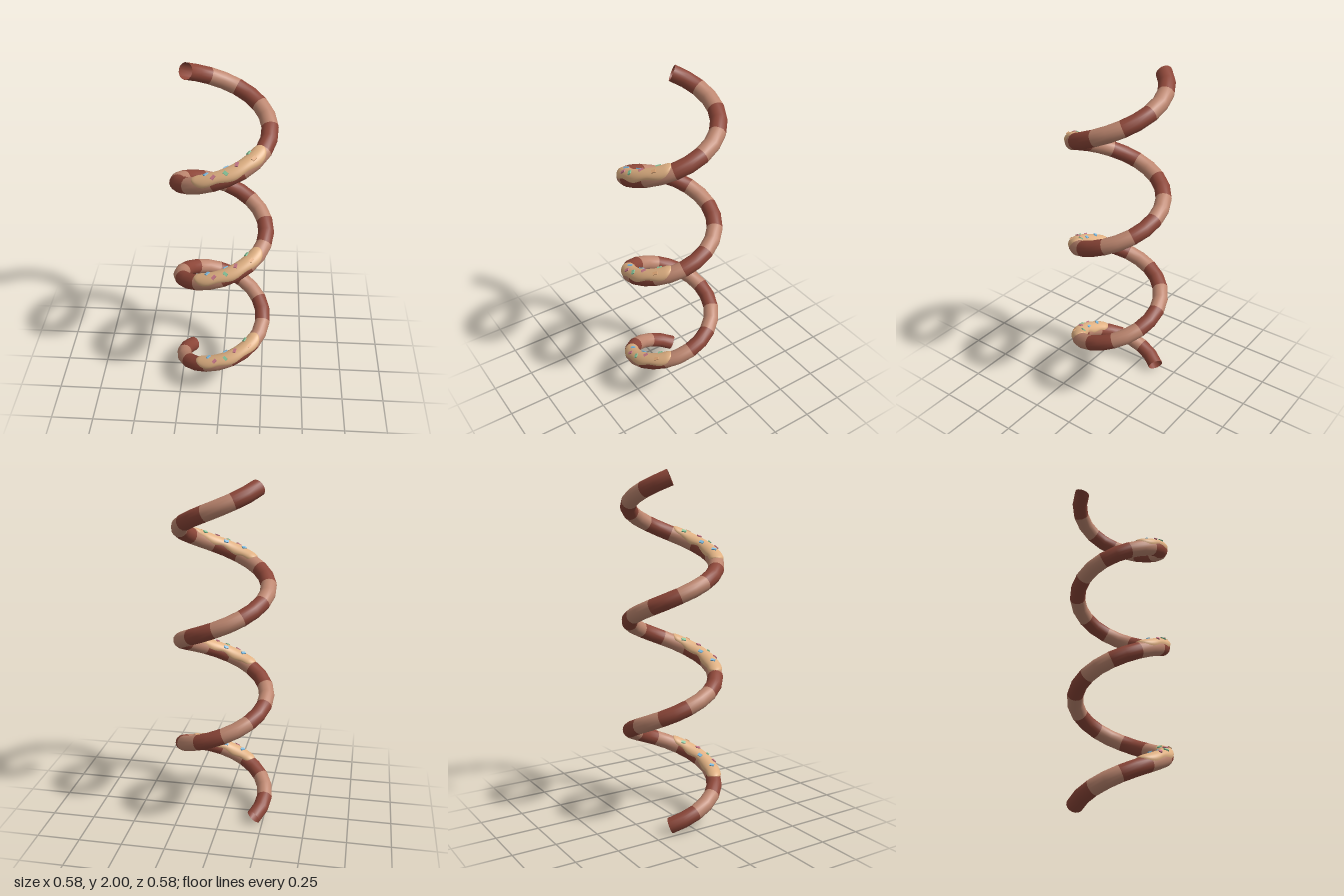
import * as THREE from 'three';

const R = 0.245, TUBE = 0.045, TURNS = 3, BANDS = 31;
const START = THREE.MathUtils.degToRad(145);
const Y0 = 0.042, RISE = 2 - 2 * Y0;          // centre-line start height and total climb
const SWEEP = TURNS * Math.PI * 2;

const paint = (name, color, side = THREE.FrontSide) => {
  const m = new THREE.MeshStandardMaterial({ color, side });
  m.name = name;
  return m;
};

// Centre point and local axes of the helix at angle t
function frame(t) {
  const c = Math.cos(t), s = Math.sin(t);
  const center = new THREE.Vector3(R * c, Y0 + RISE * (t - START) / SWEEP, -R * s);
  const out = new THREE.Vector3(c, 0, -s);
  const along = new THREE.Vector3(-R * s, RISE / SWEEP, -R * c).normalize();
  const up = new THREE.Vector3().crossVectors(out, along);
  return { center, out, along, up };
}

// Direction around the tube: 0 is the top, positive leans outward
const around = (f, a) =>
  f.up.clone().multiplyScalar(Math.cos(a)).addScaledVector(f.out, Math.sin(a));

// Grid surface wrapped on the helix; rule(u, v) gives { t, a, r }
function wrap(nu, nv, rule, smoothTube) {
  const pos = [], nor = [], idx = [];
  for (let i = 0; i <= nu; i++) {
    for (let j = 0; j <= nv; j++) {
      const { t, a, r } = rule(i / nu, j / nv);
      const f = frame(t), n = around(f, a);
      pos.push(...f.center.addScaledVector(n, r).toArray());
      nor.push(...n.toArray());
      if (i < nu && j < nv) {
        const p = i * (nv + 1) + j, q = p + nv + 1;
        idx.push(p, p + 1, q, q, p + 1, q + 1);
      }
    }
  }
  const g = new THREE.BufferGeometry();
  g.setAttribute('position', new THREE.Float32BufferAttribute(pos, 3));
  g.setAttribute('normal', new THREE.Float32BufferAttribute(nor, 3));
  g.setIndex(idx);
  if (!smoothTube) g.computeVertexNormals();
  return g;
}

export function createModel() {
  const model = new THREE.Group();
  model.name = 'spiral';
  const dark = paint('darkBrown', 0x8c4638, THREE.DoubleSide);
  const light = paint('lightBrown', 0xbd866f, THREE.DoubleSide);
  const icingMat = paint('icingTan', 0xe0b183, THREE.DoubleSide);
  const blue = paint('sprinkleBlue', 0x7fbbe0);
  const green = paint('sprinkleGreen', 0x86c49a);
  const pink = paint('sprinklePink', 0xc87888);
  const peach = paint('sprinklePeach', 0xe0a878);

  // Open coiled tube in alternating bands
  const step = SWEEP / BANDS;
  for (let k = 0; k < BANDS; k++) {
    const geo = wrap(2, 16, (u, v) => ({
      t: START + (k + u) * step, a: v * Math.PI * 2, r: TUBE,
    }), true);
    const band = new THREE.Mesh(geo, k % 2 ? light : dark);
    band.name = 'band';
    model.add(band);
  }

  // Sprinkles as seen from above: x, z, spin in degrees, colour
  const sprinkles = [
    [-0.052, 0.235, 45, blue], [-0.016, 0.273, 35, pink], [0.046, 0.211, 20, blue],
    [0.048, 0.267, -40, green], [0.103, 0.227, 75, pink], [0.154, 0.155, 60, green],
    [0.182, 0.201, 45, peach],
  ];
  const sprinkleGeo = new THREE.BoxGeometry(0.026, 0.009, 0.017);

  // One patch of icing with sprinkles on the front of every turn
  const from = THREE.MathUtils.degToRad(238), span = THREE.MathUtils.degToRad(93);
  for (let turn = 0; turn < TURNS; turn++) {
    const base = turn * Math.PI * 2;
    const patch = new THREE.Group();
    patch.name = 'icedPatch';

    // Domed shell with rounded ends and a wavy dripping edge
    const icing = new THREE.Mesh(wrap(48, 20, (u, v) => {
      const w = -Math.cos(u * Math.PI), s = 2 * v - 1;
      const end = Math.sqrt(Math.max(0, 1 - w ** 6));
      const half = (1.42 + 0.16 * Math.sin(w * 9 + s * 1.5)) * end;
      return {
        t: base + from + span * (w + 1) / 2,
        a: s * half,
        r: TUBE + 0.008 * (1 - s ** 6) * Math.min(1, end * 1.3),
      };
    }), icingMat);
    icing.name = 'icing';
    patch.add(icing);

    for (const [x, z, spin, mat] of sprinkles) {
      const t = base + Math.PI * 2 + Math.atan2(-z, x);
      const f = frame(t), r = TUBE + 0.008;
      const n = around(f, Math.asin((Math.hypot(x, z) - R) / r));
      // Lay the long side along its heading, flat on the icing
      const a = THREE.MathUtils.degToRad(spin);
      const heading = new THREE.Vector3(Math.cos(a), 0, -Math.sin(a));
      heading.y = -(heading.x * n.x + heading.z * n.z) / Math.max(n.y, 0.3);
      heading.addScaledVector(n, -heading.dot(n)).normalize();
      const side = new THREE.Vector3().crossVectors(heading, n);
      const sprinkle = new THREE.Mesh(sprinkleGeo, mat);
      sprinkle.name = 'sprinkle';
      sprinkle.quaternion.setFromRotationMatrix(new THREE.Matrix4().makeBasis(heading, n, side));
      sprinkle.position.copy(f.center).addScaledVector(n, r + 0.001);
      patch.add(sprinkle);
    }
    model.add(patch);
  }
  return model;
}
